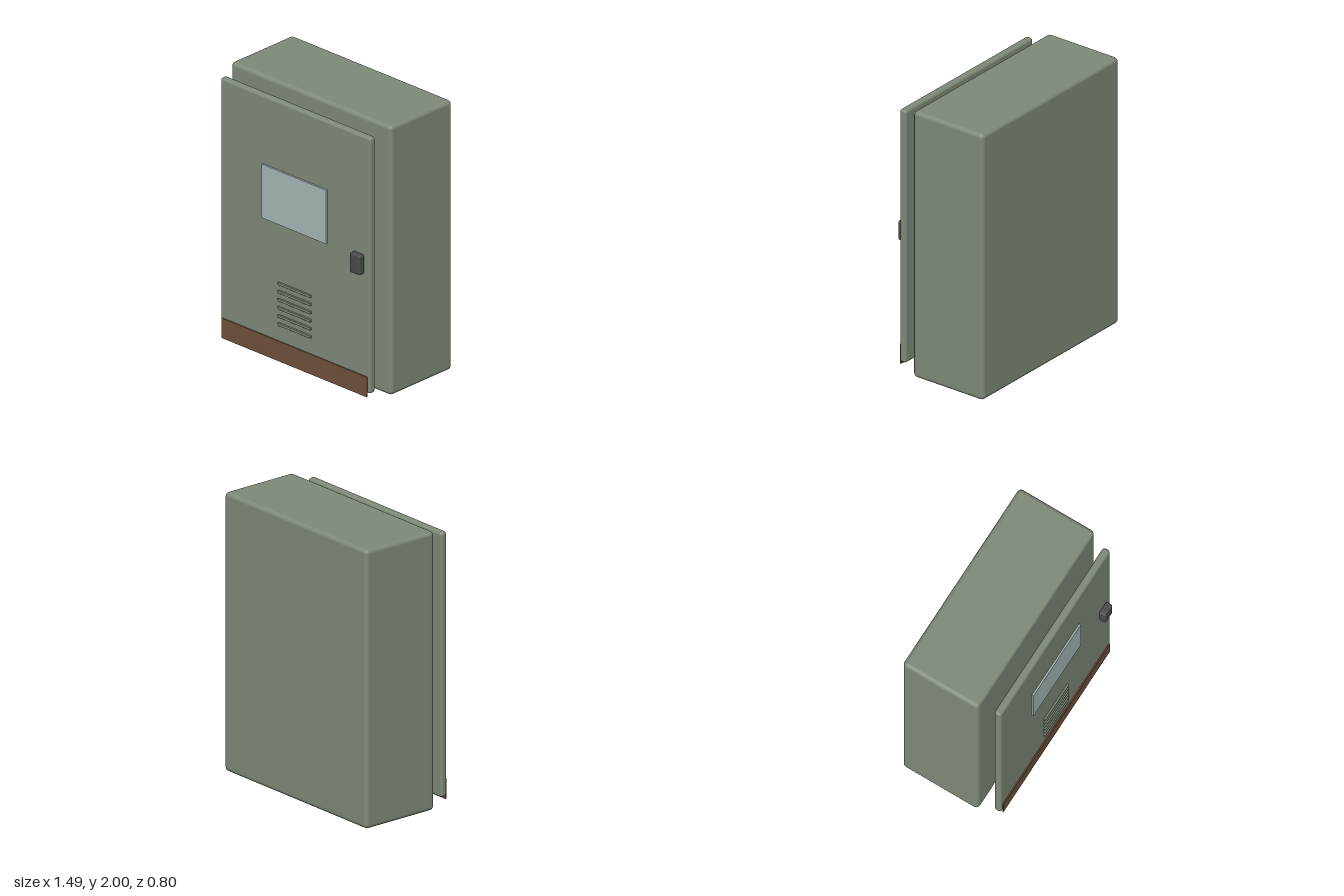
import * as THREE from 'three';
import { RoundedBoxGeometry } from 'three/addons/geometries/RoundedBoxGeometry.js';

const paint = new THREE.MeshStandardMaterial({ color: 0x7f8a79 });
const glass = new THREE.MeshStandardMaterial({ color: 0xa8b8b8 });
const dark = new THREE.MeshStandardMaterial({ color: 0x4a4a4a });
const rust = new THREE.MeshStandardMaterial({ color: 0x70503a });

// Box given by its [min, max] extents; a radius rounds its edges
function block(name, [x0, x1], [y0, y1], [z0, z1], material, radius = 0) {
  const size = [x1 - x0, y1 - y0, z1 - z0];
  const geometry = radius
    ? new RoundedBoxGeometry(...size, 3, radius)
    : new THREE.BoxGeometry(...size);
  const mesh = new THREE.Mesh(geometry, material);
  mesh.name = name;
  mesh.position.set((x0 + x1) / 2, (y0 + y1) / 2, (z0 + z1) / 2);
  return mesh;
}

export function createModel() {
  const cabinet = new THREE.Group();
  cabinet.name = 'electricalCabinet';

  // Enclosure
  cabinet.add(block('body', [-0.745, 0.745], [0.005, 2], [-0.4, 0.197], paint, 0.03));

  // Door panel standing off the enclosure, with everything mounted on it
  const door = new THREE.Group();
  door.name = 'door';
  door.add(
    block('doorPanel', [-0.697, 0.697], [0.055, 1.95], [0.293, 0.348], paint, 0.02),
    block('window', [-0.3, 0.3], [1.045, 1.443], [0.343, 0.361], glass),
    block('handle', [0.55, 0.646], [0.933, 1.077], [0.346, 0.398], dark, 0.012),
    block('rustStrip', [-0.675, 0.675], [0.03, 0.178], [0.348, 0.356], rust)
  );

  // Ventilation louvers
  const louvers = new THREE.Group();
  louvers.name = 'louvers';
  for (let i = 0; i < 6; i++) {
    const y = 0.305 + i * 0.06;
    louvers.add(block('louver', [-0.152, 0.152], [y - 0.01, y + 0.01], [0.343, 0.362], paint, 0.004));
  }
  door.add(louvers);
  cabinet.add(door);

  return cabinet;
}
